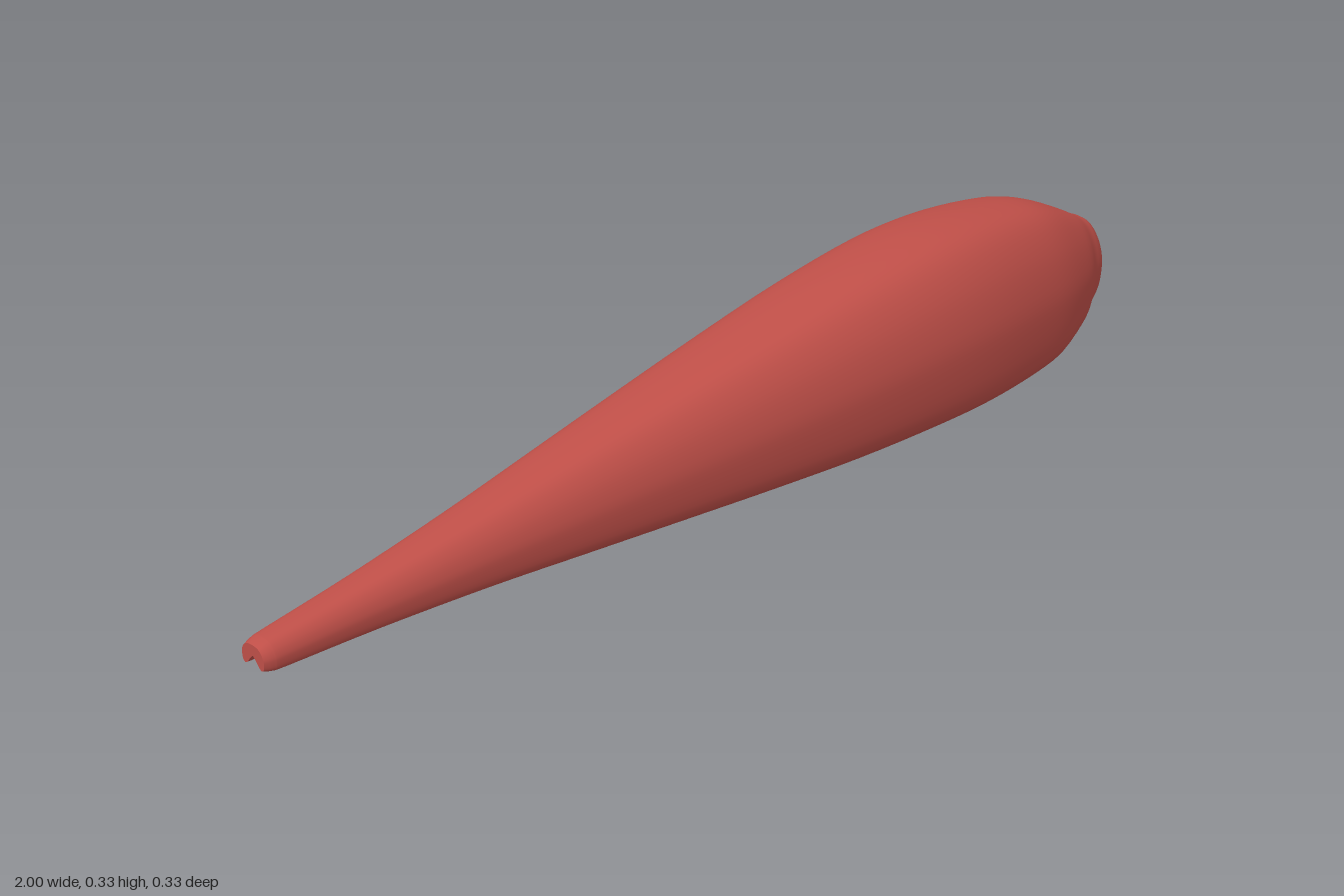
import * as THREE from 'three';

// Stations along the body: x, top height, lobe bottom height, half width
const STATIONS = [
  [-1, 0.088, 0.052, 0.026], [-0.985, 0.093, 0.049, 0.031], [-0.96, 0.097, 0.048, 0.034],
  [-0.8, 0.119, 0.047, 0.047], [-0.6, 0.152, 0.042, 0.067], [-0.4, 0.19, 0.033, 0.09],
  [-0.2, 0.228, 0.024, 0.113], [0, 0.265, 0.015, 0.135], [0.2, 0.3, 0.007, 0.153],
  [0.4, 0.326, 0.003, 0.163], [0.55, 0.332, 0.001, 0.161], [0.7, 0.322, 0.004, 0.147],
  [0.8, 0.303, 0.013, 0.13], [0.9, 0.262, 0.04, 0.099], [0.95, 0.237, 0.057, 0.074],
  [0.975, 0.227, 0.067, 0.065], [0.992, 0.208, 0.082, 0.058], [1, 0.19, 0.097, 0.046],
];
// Half of the outer section, lobe to top: z / half width, height fraction
const SHELL = [[0.77, 0], [0.9, 0.06], [0.97, 0.18], [1, 0.37], [0.98, 0.53],
  [0.87, 0.72], [0.69, 0.87], [0.49, 0.955], [0.25, 0.99], [0, 1]];
// Groove, ridge line to lobe: z / half width, fraction of groove height
const GROOVE = [[0, 1], [0.2, 0.76], [0.42, 0.36], [0.62, 0.08], [0.77, 0]];

const smooth = (pts, n) =>
  new THREE.SplineCurve(pts.map((p) => new THREE.Vector2(...p))).getPoints(n);

// Open loop starting and ending at the top of the groove, as [z, y]
function section([x, top, low, w]) {
  const ceiling = Math.max(0.07 + 0.02 * (x + 1), low + 0.012);
  const half = [
    ...smooth(GROOVE, 10).slice(0, -1).map((p) => [p.x * w, low + p.y * (ceiling - low)]),
    ...smooth(SHELL, 24).map((p) => [p.x * w, low + p.y * (top - low)]),
  ];
  const right = half.map(([z, y]) => [-z, y]);
  return [...right, ...half.slice(0, -1).reverse()];
}

// Smooth stations between the given ones
function stations(steps) {
  const curve = (k) => new THREE.CatmullRomCurve3(
    STATIONS.map((s) => new THREE.Vector3(s[0], s[k], s[3])), false, 'catmullrom', 0.5);
  const tops = curve(1).getPoints.call(curve(1), steps);
  const lows = curve(2).getPoints(steps);
  return tops.map((p, i) => [p.x, p.y, lows[i].y, p.z]);
}

function geometryFrom(positions, index) {
  const g = new THREE.BufferGeometry();
  g.setAttribute('position', new THREE.Float32BufferAttribute(positions, 3));
  g.setIndex(index);
  g.computeVertexNormals();
  return g;
}

function loft(list) {
  const positions = [], index = [];
  let n = 0;
  list.forEach((s, i) => {
    const loop = section(s);
    n = loop.length;
    loop.forEach(([z, y]) => positions.push(s[0], y, z));
    if (i === 0) return;
    for (let j = 0; j < n - 1; j++) {
      const a = (i - 1) * n + j, d = i * n + j;
      index.push(a, a + 1, d, a + 1, d + 1, d);
    }
  });
  return geometryFrom(positions, index);
}

function cap(s, facing) {
  const loop = section(s).slice(0, -1);
  const outline = loop.map(([z, y]) => new THREE.Vector2(-z, y));
  const faces = THREE.ShapeUtils.triangulateShape(outline, []);
  const index = faces.flatMap(([a, b, c]) => (facing > 0 ? [a, b, c] : [a, c, b]));
  return geometryFrom(loop.flatMap(([z, y]) => [s[0], y, z]), index);
}

export function createModel() {
  const red = new THREE.MeshStandardMaterial({ color: 0xbf4f48 });
  red.name = 'red';
  const group = new THREE.Group();
  group.name = 'taperedGroovedBody';
  const add = (name, geometry) => {
    const mesh = new THREE.Mesh(geometry, red);
    mesh.name = name;
    group.add(mesh);
  };
  const list = stations((STATIONS.length - 1) * 4);
  add('body', loft(list));
  add('wideEnd', cap(list[list.length - 1], 1));
  add('narrowEnd', cap(list[0], -1));
  return group;
}
